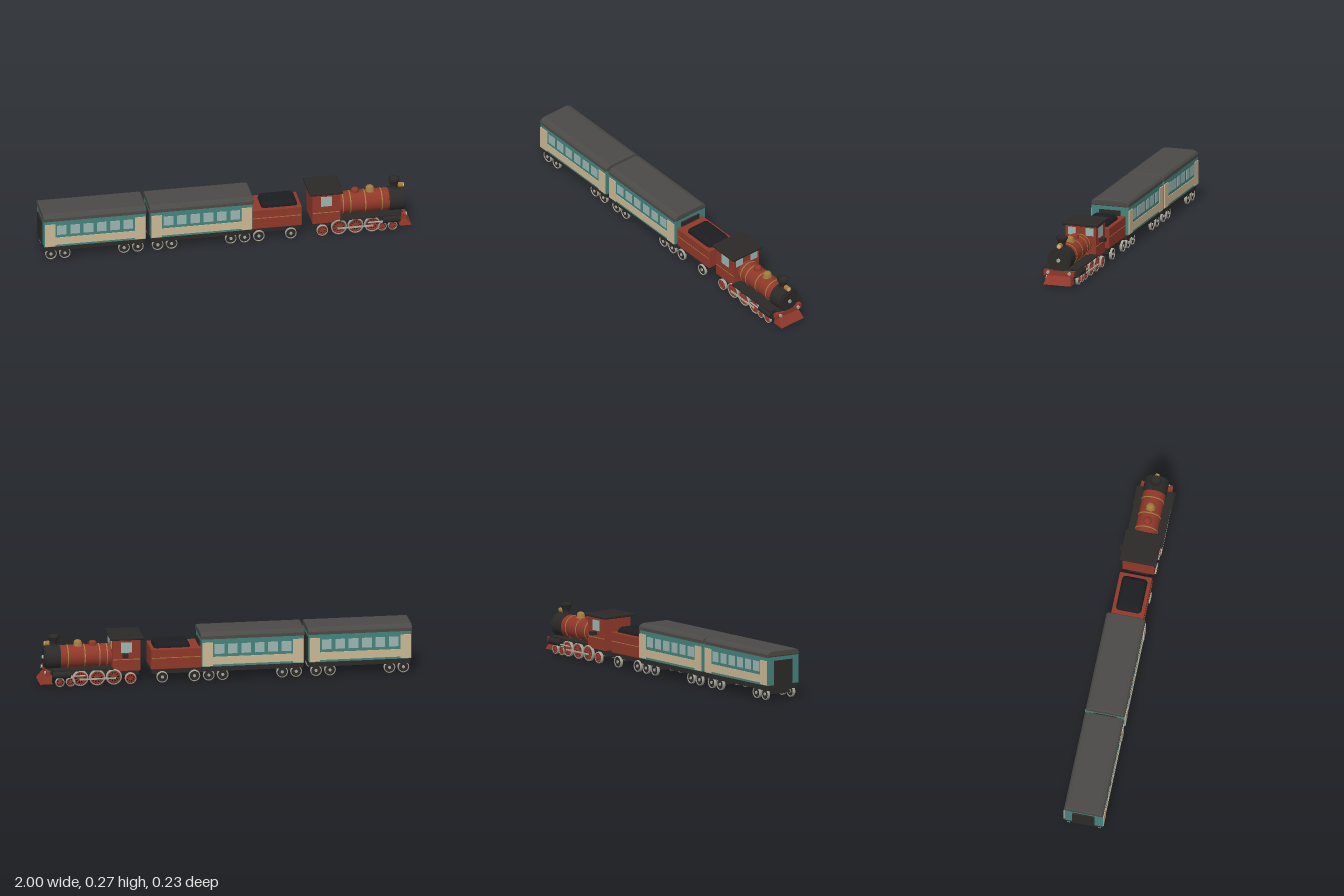
import * as THREE from 'three';
import { RoundedBoxGeometry } from 'three/addons/geometries/RoundedBoxGeometry.js';

const mat = (color) => new THREE.MeshStandardMaterial({ color });
const RED = mat(0x8f3829), TEAL = mat(0x45837c), CREAM = mat(0xcbb995), ROOF = mat(0x4b4a47);
const DARK = mat(0x2b2a28), COAL = mat(0x1c1d20), GOLD = mat(0xa07c3c), GLASS = mat(0x9db6b2);
const STEEL = mat(0xaaa69c), LAMP = mat(0xe0b878);

function add(parent, name, geometry, material, x = 0, y = 0, z = 0) {
  const mesh = new THREE.Mesh(geometry, material);
  mesh.name = name;
  mesh.position.set(x, y, z);
  parent.add(mesh);
  return mesh;
}

// Box given by its x, y and z ranges
function box(parent, name, material, [x0, x1], [y0, y1], [z0, z1], round = 0) {
  const size = [x1 - x0, y1 - y0, z1 - z0];
  const geometry = round ? new RoundedBoxGeometry(...size, 3, round) : new THREE.BoxGeometry(...size);
  return add(parent, name, geometry, material, (x0 + x1) / 2, (y0 + y1) / 2, (z0 + z1) / 2);
}

// Cylinder lying along x
function barrel(parent, name, material, r, [x0, x1], y, z = 0) {
  const geometry = new THREE.CylinderGeometry(r, r, x1 - x0, 32).rotateZ(Math.PI / 2);
  return add(parent, name, geometry, material, (x0 + x1) / 2, y, z);
}

// Solid of revolution standing on y
function turned(parent, name, material, points, x, y) {
  const profile = points.map(([r, h]) => new THREE.Vector2(r, h));
  return add(parent, name, new THREE.LatheGeometry(profile, 28), material, x, y);
}

// (z, y) outline extruded along x between x0 and x1, bevel included
function extrudeX(parent, name, material, outline, [x0, x1], bevel) {
  const shape = new THREE.Shape(outline.map(([z, y]) => new THREE.Vector2(z, y)));
  const geometry = new THREE.ExtrudeGeometry(shape, {
    depth: x1 - x0 - 2 * bevel, bevelEnabled: bevel > 0, bevelSize: bevel,
    bevelThickness: bevel, bevelOffset: -bevel, bevelSegments: 2,
  });
  geometry.rotateY(Math.PI / 2);
  return add(parent, name, geometry, material, x0 + bevel, 0, 0);
}

// Wheel facing z: pale tyre, spokes or solid disc, and hub
function wheel(parent, x, r, side, material, spokes) {
  const g = new THREE.Group();
  g.name = 'wheel';
  g.position.set(x, r + 0.002, side * 0.084);
  parent.add(g);
  const rim = [[r * 0.83, -0.007], [r, -0.007], [r, 0.007], [r * 0.83, 0.007], [r * 0.83, -0.007]];
  turned(g, 'tyre', STEEL, rim, 0, 0).rotation.x = Math.PI / 2;
  const disc = new THREE.CylinderGeometry(r * 0.86, r * 0.86, 0.007, 28).rotateX(Math.PI / 2);
  if (!spokes) add(g, 'disc', disc, material);
  for (let i = 0; i < spokes; i++) {
    const spoke = new THREE.BoxGeometry(r * 0.13, r * 0.86, 0.008).translate(0, r * 0.43, 0);
    add(g, 'spoke', spoke, material).rotation.z = (i * 2 * Math.PI) / spokes;
  }
  if (spokes) {
    const inner = [[r * 0.68, -0.005], [r * 0.84, -0.005], [r * 0.84, 0.005], [r * 0.68, 0.005], [r * 0.68, -0.005]];
    turned(g, 'innerRim', material, inner, 0, 0).rotation.x = Math.PI / 2;
  }
  add(g, 'hub', new THREE.CylinderGeometry(r * 0.27, r * 0.27, 0.016, 16).rotateX(Math.PI / 2), spokes ? material : STEEL);
}

function wheelset(parent, x, r, material, spokes) {
  for (const side of [-1, 1]) wheel(parent, x, r, side, material, spokes);
  add(parent, 'axle', new THREE.CylinderGeometry(0.006, 0.006, 0.168, 12).rotateX(Math.PI / 2), DARK, x, r + 0.002);
}

function coach(cx) {
  const g = new THREE.Group();
  g.name = 'coach';
  g.position.x = cx;
  box(g, 'body', TEAL, [-0.275, 0.275], [0.083, 0.243], [-0.104, 0.104]);
  box(g, 'underframe', DARK, [-0.272, 0.272], [0.055, 0.085], [-0.095, 0.095]);
  const roof = [[-0.106, 0.235], [0.106, 0.235], [0.106, 0.252], [0.097, 0.263], [0.078, 0.27],
    [-0.078, 0.27], [-0.097, 0.263], [-0.106, 0.252]];
  extrudeX(g, 'roof', ROOF, roof, [-0.28, 0.28], 0.006);
  for (const s of [-1, 1]) {
    const zr = (a, b) => (s > 0 ? [a, b] : [-b, -a]);
    box(g, 'lowerPanel', CREAM, [-0.218, 0.218], [0.095, 0.137], zr(0.1, 0.107));
    for (const e of [-1, 1]) {
      const xr = e > 0 ? [0.216, 0.272] : [-0.272, -0.216];
      box(g, 'doorPanel', CREAM, xr, [0.087, 0.217], zr(0.1, 0.1085));
    }
    for (let i = 0; i < 6; i++) {
      const x = (i - 2.5) * 0.072;
      box(g, 'window', GLASS, [x - 0.026, x + 0.026], [0.153, 0.207], zr(0.1, 0.106));
    }
    // Gangway on each end
    const xr = s > 0 ? [0.27, 0.283] : [-0.283, -0.27];
    box(g, 'gangway', DARK, xr, [0.083, 0.215], [-0.06, 0.06]);
    box(g, 'bogie', DARK, [s * 0.1975 - 0.05, s * 0.1975 + 0.05], [0.03, 0.058], [-0.06, 0.06]);
    for (const x of [0.16, 0.235]) wheelset(g, s * x, 0.031, DARK, 0);
  }
  return g;
}

function tender() {
  const g = new THREE.Group();
  g.name = 'tender';
  box(g, 'tank', RED, [0.135, 0.405], [0.075, 0.187], [-0.088, 0.088], 0.004);
  box(g, 'underframe', DARK, [0.13, 0.4], [0.05, 0.078], [-0.08, 0.08]);
  for (const s of [-1, 1]) box(g, 'trimLine', GOLD, [0.14, 0.4], [0.136, 0.14], [s * 0.088 - 0.001, s * 0.088 + 0.001]);
  // Coal heap narrows toward the top
  const heap = new RoundedBoxGeometry(0.2, 0.06, 0.14, 4, 0.02);
  const p = heap.attributes.position;
  for (let i = 0; i < p.count; i++) {
    const k = 1 - Math.max(0, p.getY(i)) * 4;
    p.setX(i, p.getX(i) * k);
    p.setZ(i, p.getZ(i) * k);
  }
  heap.computeVertexNormals();
  add(g, 'coal', heap, COAL, 0.288, 0.186);
  for (const x of [0.172, 0.345]) wheelset(g, x, 0.031, DARK, 0);
  return g;
}

function locomotive() {
  const g = new THREE.Group();
  g.name = 'locomotive';
  const Y = 0.146;
  // Cab
  box(g, 'cab', RED, [0.462, 0.612], [0.075, 0.25], [-0.086, 0.086]);
  box(g, 'cabRoof', DARK, [0.445, 0.625], [0.246, 0.262], [-0.1, 0.1], 0.005);
  for (const s of [-1, 1]) {
    const zr = (a, b) => (s > 0 ? [a, b] : [-b, -a]);
    box(g, 'sideWindow', GLASS, [0.508, 0.568], [0.175, 0.232], zr(0.08, 0.088));
    box(g, 'frontWindow', GLASS, [0.605, 0.614], [0.195, 0.237], zr(0.028, 0.072));
    box(g, 'cabTrim', GOLD, [0.465, 0.609], [0.136, 0.14], zr(0.08, 0.087));
    // Running boards, steam cylinders and rods
    box(g, 'runningBoard', DARK, [0.61, 0.93], [0.088, 0.096], zr(0.05, 0.1));
    barrel(g, 'steamCylinder', DARK, 0.021, [0.84, 0.935], 0.07, s * 0.088);
    box(g, 'couplingRod', STEEL, [0.595, 0.79], [0.036, 0.044], zr(0.092, 0.098));
    barrel(g, 'pistonRod', STEEL, 0.004, [0.76, 0.85], 0.06, s * 0.095);
    barrel(g, 'beamLamp', STEEL, 0.009, [0.96, 0.976], 0.077, s * 0.06);
  }
  box(g, 'cabLever', DARK, [0.53, 0.56], [0.153, 0.171], [-0.1165, -0.08]);
  // Boiler with bands
  barrel(g, 'boiler', RED, 0.06, [0.6, 0.9], Y);
  for (const x of [0.635, 0.675, 0.755, 0.845]) barrel(g, 'boilerBand', GOLD, 0.0615, [x - 0.003, x + 0.003], Y);
  barrel(g, 'smokebox', DARK, 0.065, [0.885, 0.965], Y);
  barrel(g, 'smokeboxDoor', DARK, 0.054, [0.96, 0.972], Y);
  barrel(g, 'doorHandle', STEEL, 0.01, [0.97, 0.979], Y);
  // Chimney, domes and headlamp
  turned(g, 'chimney', DARK, [[0.024, 0], [0.018, 0.012], [0.019, 0.022], [0.029, 0.05], [0.031, 0.051],
    [0.031, 0.06], [0.024, 0.06], [0.02, 0.045], [0, 0.045]], 0.917, 0.204);
  turned(g, 'sandDome', RED, [[0.021, 0], [0.021, 0.018], [0.017, 0.024], [0.009, 0.027], [0, 0.028]], 0.707, 0.2);
  turned(g, 'steamDome', GOLD, [[0.026, 0], [0.022, 0.006], [0.022, 0.02], [0.017, 0.028], [0.009, 0.032], [0, 0.033]], 0.787, 0.202);
  box(g, 'lampBracket', DARK, [0.94, 0.96], [0.2, 0.214], [-0.008, 0.008]);
  barrel(g, 'headlampCase', GOLD, 0.0135, [0.94, 0.966], 0.221);
  barrel(g, 'headlampLens', LAMP, 0.011, [0.96, 0.97], 0.221);
  // Frame, front beam and cowcatcher
  box(g, 'frame', DARK, [0.465, 0.955], [0.045, 0.09], [-0.06, 0.06]);
  box(g, 'frontBeam', RED, [0.945, 0.967], [0.059, 0.088], [-0.086, 0.086]);
  const catcher = new THREE.BoxGeometry(0.03, 0.046, 0.13);
  const p = catcher.attributes.position;
  for (let i = 0; i < p.count; i++) {
    if (p.getY(i) > 0) continue;
    p.setX(i, p.getX(i) + (p.getX(i) > 0 ? 0.035 : 0));
    p.setZ(i, p.getZ(i) * 1.18);
  }
  catcher.computeVertexNormals();
  add(g, 'cowcatcher', catcher, RED, 0.95, 0.038);
  // Wheels
  for (const x of [0.605, 0.695, 0.785]) wheelset(g, x, 0.043, RED, 10);
  wheelset(g, 0.515, 0.031, RED, 8);
  for (const x of [0.838, 0.895]) wheelset(g, x, 0.025, RED, 8);
  return g;
}

export function createModel() {
  const train = new THREE.Group();
  train.name = 'train';
  train.add(coach(-0.717), coach(-0.14), tender(), locomotive());
  for (const part of train.children) part.position.z = 0.004;
  return train;
}
